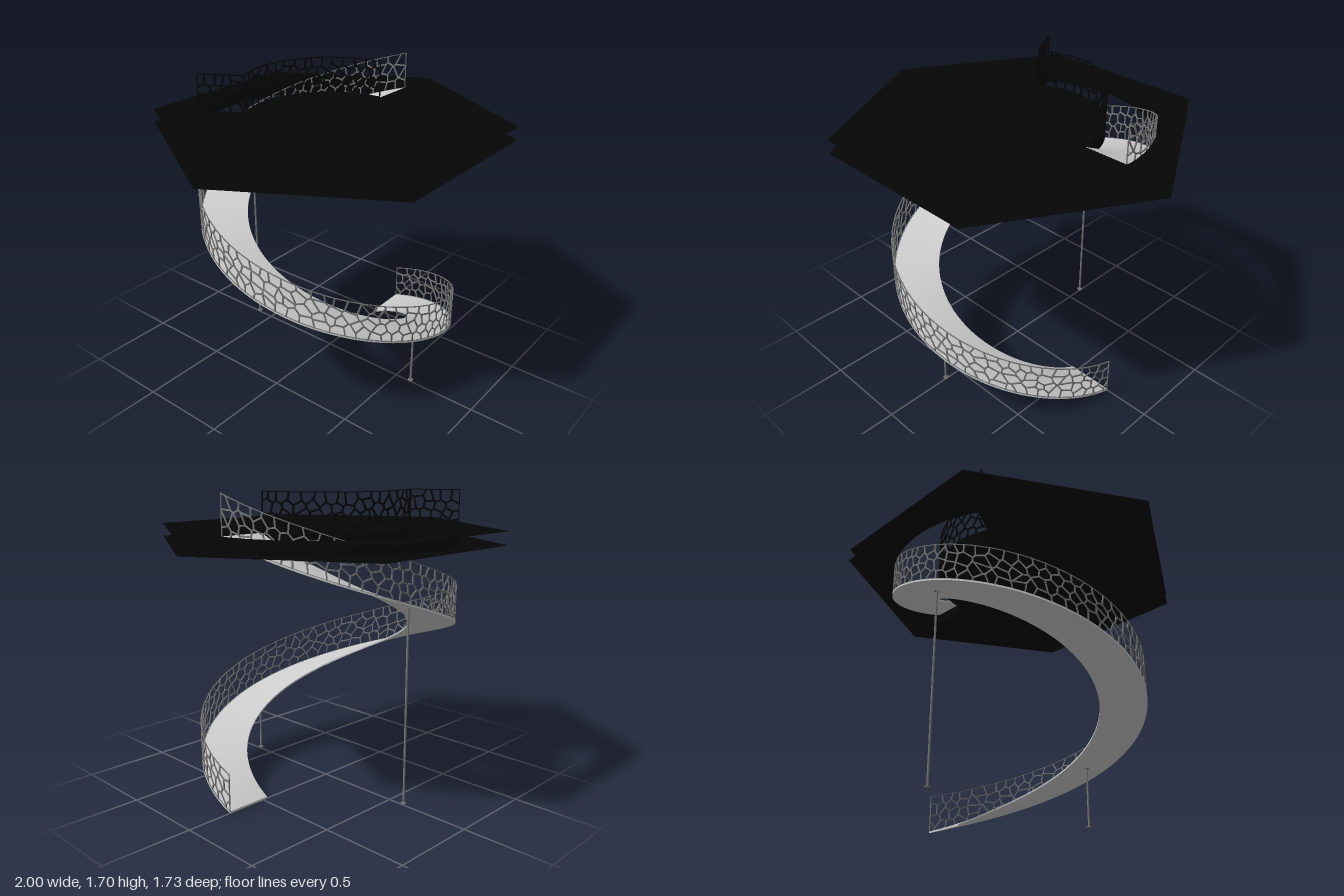
import * as THREE from 'three';
import { mergeGeometries } from 'three/addons/utils/BufferGeometryUtils.js';

const R_IN = 0.47, R_OUT = 0.735, RISE = 1.475, TURN = Math.PI * 2;
const TOP = 1.485, BOTTOM = 1.41, HOLE = TURN / 3;

const grey = new THREE.MeshStandardMaterial({ color: 0xcccccc, side: THREE.DoubleSide });
const steel = new THREE.MeshStandardMaterial({ color: 0x777777, side: THREE.DoubleSide });
const black = new THREE.MeshStandardMaterial({ color: 0x050505, side: THREE.DoubleSide });

function seeded(seed) {
  return () => (seed = (seed * 16807) % 2147483647) / 2147483647;
}

function add(parent, name, geometry, material) {
  const mesh = new THREE.Mesh(geometry, material);
  mesh.name = name;
  parent.add(mesh);
  return mesh;
}

// Move every vertex by a rule: place(x, y, z) returns the new [x, y, z]
function bend(geometry, place) {
  const p = geometry.attributes.position;
  for (let i = 0; i < p.count; i++) p.setXYZ(i, ...place(p.getX(i), p.getY(i), p.getZ(i)));
  geometry.computeVertexNormals();
  return geometry;
}

// Keep the part of a convex polygon where (p - o) . n <= 0
function clip(poly, o, n) {
  const out = [];
  poly.forEach((a, i) => {
    const b = poly[(i + 1) % poly.length];
    const da = (a.x - o.x) * n.x + (a.y - o.y) * n.y;
    const db = (b.x - o.x) * n.x + (b.y - o.y) * n.y;
    if (da <= 0) out.push(a);
    if (da * db < 0) out.push(a.clone().lerp(b, da / (da - db)));
  });
  return out;
}

// Cellular lattice panel: one framed ring per irregular cell
function lattice(length, height, cols, rows, bar, depth, seed) {
  const rnd = seeded(seed), sites = [], rings = [];
  for (let i = 0; i < cols; i++) {
    for (let j = 0; j < rows; j++) {
      const u = i + 0.5 + (j % 2 ? 0.25 : -0.25) + (rnd() - 0.5) * 0.7;
      const v = j + 0.5 + (rnd() - 0.5) * 0.75;
      sites.push(new THREE.Vector2(u * length / cols, v * height / rows));
    }
  }
  const reach = 4 * Math.max(length / cols, height / rows);
  const cell = (s, inset) => {
    const a = inset, x = length - inset, y = height - inset;
    let poly = [[a, a], [x, a], [x, y], [a, y]].map(c => new THREE.Vector2(...c));
    for (const t of sites) {
      if (t === s || t.distanceTo(s) > reach) continue;
      const n = t.clone().sub(s).normalize();
      poly = clip(poly, s.clone().add(t).multiplyScalar(0.5).addScaledVector(n, -inset), n);
    }
    return poly;
  };
  for (const s of sites) {
    const outer = cell(s, 0), inner = cell(s, bar);
    if (outer.length < 3) continue;
    const shape = new THREE.Shape(outer);
    if (inner.length > 2) shape.holes.push(new THREE.Path(inner));
    rings.push(new THREE.ExtrudeGeometry(shape, { depth, bevelEnabled: false }));
  }
  return mergeGeometries(rings);
}

// Outline of the stair opening, an arc band over a third of a turn
function openingPoints() {
  const pts = [], n = 40;
  for (let i = 0; i <= n; i++) {
    const a = HOLE * i / n;
    pts.push(new THREE.Vector2(Math.cos(a), Math.sin(a)).multiplyScalar(R_OUT + 0.003));
  }
  for (let i = n; i >= 0; i--) {
    const a = HOLE * i / n;
    pts.push(new THREE.Vector2(Math.cos(a), Math.sin(a)).multiplyScalar(R_IN));
  }
  return pts;
}

export function createModel() {
  const model = new THREE.Group();
  model.name = 'spiralRampWithPlatform';

  // Helical walkway: a long thin box wound through one turn
  const walk = new THREE.BoxGeometry(R_OUT - R_IN, 0.01, 1, 4, 1, 160);
  add(model, 'ramp', bend(walk, (x, y, z) => {
    const t = z + 0.5, r = x + (R_IN + R_OUT) / 2;
    return [r * Math.cos(t * TURN), y + 0.005 + RISE * t, r * Math.sin(t * TURN)];
  }), grey);

  // Lattice balustrade along the outer edge of the ramp
  const rail = lattice(TURN * R_OUT, 0.215, 68, 4, 0.0037, 0.006, 11);
  add(model, 'rampRailing', bend(rail, (u, v, w) => {
    const a = u / R_OUT, r = R_OUT - w;
    return [r * Math.cos(a), v + 0.008 + RISE * a / TURN, r * Math.sin(a)];
  }), steel);

  // Platform: two hexagonal sheets joined only around the opening
  const platform = new THREE.Group();
  platform.name = 'platform';
  model.add(platform);
  const hex = [0, 1, 2, 3, 4, 5].map(i =>
    new THREE.Vector2(Math.cos(i * Math.PI / 3), Math.sin(i * Math.PI / 3)));
  const opening = openingPoints();
  const shape = new THREE.Shape(hex);
  shape.holes.push(new THREE.Path(opening));
  for (const [name, y] of [['platformTop', TOP], ['platformUnderside', BOTTOM]]) {
    add(platform, name, new THREE.ShapeGeometry(shape).rotateX(-Math.PI / 2), black).position.y = y;
  }
  const count = opening.length;
  const wall = new THREE.PlaneGeometry(count, 1, count, 1).translate(count / 2, 0.5, 0);
  add(platform, 'openingWall', bend(wall.toNonIndexed(), (x, y) => {
    const p = opening[Math.round(x) % count];
    return [p.x, BOTTOM + y * (TOP - BOTTOM), -p.y];
  }), black);

  // Lattice guard on the inner arc and the closed end of the opening
  const arcGuard = lattice(HOLE * R_IN, 0.215, 16, 4, 0.0048, 0.006, 29);
  add(platform, 'curvedGuard', bend(arcGuard, (u, v, w) => {
    const a = u / R_IN - HOLE, r = R_IN - w;
    return [r * Math.cos(a), TOP + v, r * Math.sin(a)];
  }), black);
  const endGuard = lattice(R_OUT - R_IN, 0.215, 5, 4, 0.0048, 0.006, 53);
  const dx = Math.cos(-HOLE), dz = Math.sin(-HOLE);
  add(platform, 'endGuard', bend(endGuard, (u, v, w) => {
    const r = R_IN + u, s = w - 0.006;
    return [r * dx - s * dz, TOP + v, r * dz + s * dx];
  }), black);

  // Slim posts with small round plates at both ends
  for (const [name, z, top] of [['frontPost', 0.6, 0.37], ['backPost', -0.6, 1.108]]) {
    const post = new THREE.Group();
    post.name = name;
    post.position.z = z;
    model.add(post);
    add(post, 'shaft', new THREE.CylinderGeometry(0.006, 0.006, top - 0.01, 16), steel)
      .position.y = (top + 0.01) / 2;
    for (const [plate, y] of [['footPlate', 0.013], ['headPlate', top - 0.002]]) {
      add(post, plate, new THREE.CylinderGeometry(0.015, 0.015, 0.005, 20), steel).position.y = y;
    }
  }
  return model;
}
